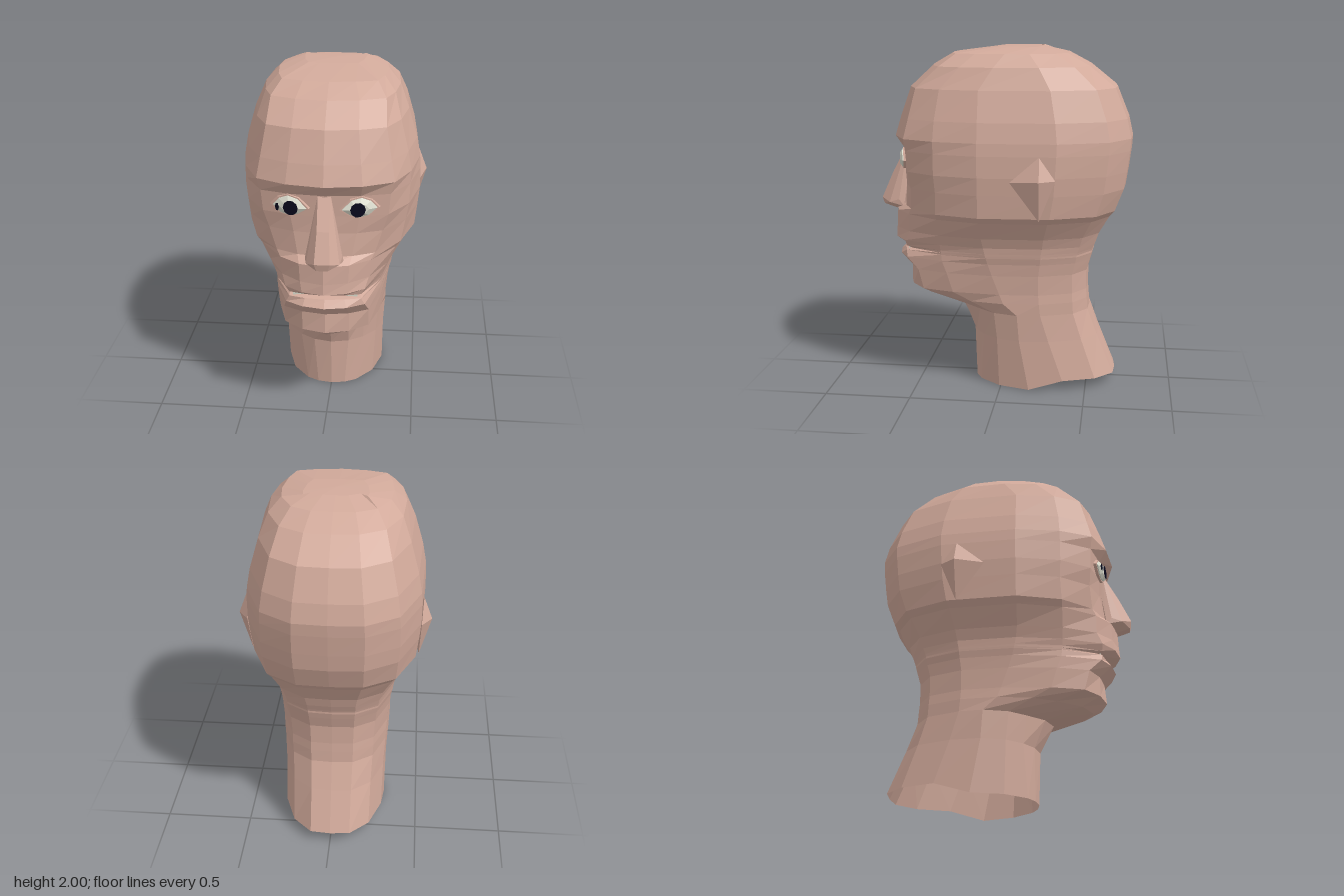
import * as THREE from 'three';
import { ConvexGeometry } from 'three/addons/geometries/ConvexGeometry.js';

// The neck is open underneath, so the skin shows on both sides
const skin = new THREE.MeshStandardMaterial({ color: 0xd2aa9b, side: THREE.DoubleSide });
skin.name = 'skin';
const white = new THREE.MeshStandardMaterial({ color: 0xdedfd0 });
white.name = 'eye white';
const dark = new THREE.MeshStandardMaterial({ color: 0x08081c });
dark.name = 'iris dark';

// Cross-sections: y, front z, face corner x, face corner z, half width, back z
const SECTIONS = [
  [0, 0.18, 0.15, 0.13, 0.30, -0.67],
  [0.30, 0.19, 0.19, 0.11, 0.305, -0.57],
  [0.46, 0.27, 0.20, 0.13, 0.315, -0.51],
  [0.53, 0.50, 0.22, 0.30, 0.32, -0.505],
  [0.585, 0.58, 0.24, 0.46, 0.32, -0.50],
  [0.70, 0.57, 0.24, 0.49, 0.33, -0.50],
  [0.77, 0.64, 0.22, 0.56, 0.34, -0.52],
  [0.808, 0.60, 0.20, 0.565, 0.35, -0.53],
  [0.82, 0.545, 0.20, 0.53, 0.352, -0.53],
  [0.834, 0.60, 0.20, 0.565, 0.354, -0.535],
  [0.87, 0.67, 0.22, 0.57, 0.36, -0.55],
  [0.93, 0.665, 0.24, 0.54, 0.385, -0.57],
  [1.035, 0.66, 0.25, 0.54, 0.45, -0.63],
  [1.07, 0.60, 0.27, 0.52, 0.48, -0.66],
  [1.20, 0.585, 0.31, 0.51, 0.495, -0.71],
  [1.30, 0.585, 0.34, 0.52, 0.505, -0.725],
  [1.42, 0.59, 0.35, 0.525, 0.505, -0.74],
  [1.49, 0.65, 0.37, 0.535, 0.50, -0.745],
  [1.60, 0.615, 0.35, 0.51, 0.48, -0.72],
  [1.77, 0.55, 0.32, 0.47, 0.43, -0.65],
  [1.89, 0.42, 0.31, 0.34, 0.38, -0.50],
  [1.96, 0.30, 0.26, 0.25, 0.31, -0.37],
  [1.995, 0.03, 0.14, 0.02, 0.18, -0.22],
];

// One closed loop of points, running front, left side, back, right side
function loop([y, zF, xC, zC, w, zB]) {
  const { smoothstep, clamp } = THREE.MathUtils;
  const zM = Math.min(-0.17 + 0.27 * smoothstep(y, 0, 1), zC * 0.6 - 0.18);
  const backShare = 0.55 - 0.1 * smoothstep(y, 0, 0.6);
  const half = [
    [0, zF],
    [xC * 0.55, zF - 0.3 * (zF - zC)],
    [xC, zC],
    [xC + 0.65 * (w - xC), 0.6 * Math.min(zC, 0.52) + 0.4 * zM],
    [w, zM],
    [w * 0.96, Math.min(zB * backShare, zM - 0.05)],
    [w * 0.74, zB * 0.83],
    [w * 0.38, zB * 0.985],
    [0, zB],
  ];
  const mirrored = half.slice(1, -1).reverse().map(([x, z]) => [-x, z]);
  // The cut under the neck rises toward the back
  const lift = (z) => (y === 0 ? 0.06 * clamp((-0.17 - z) / 0.2, 0, 1) : 0);
  return [...half, ...mirrored].map(([x, z]) => [x, y + lift(z), z]);
}

function headGeometry() {
  const loops = SECTIONS.map(loop);
  const n = loops[0].length;
  const top = (loops.length - 1) * n, crown = loops.length * n;
  const positions = [...loops.flat(2), 0, 2, -0.1];
  const index = [];
  for (let i = 0; i < n; i++) {
    const j = (i + 1) % n;
    for (let r = 0; r < top; r += n) {
      index.push(r + i, r + j, r + j + n, r + i, r + j + n, r + i + n);
    }
    index.push(top + i, top + j, crown);
  }
  const indexed = new THREE.BufferGeometry();
  indexed.setAttribute('position', new THREE.Float32BufferAttribute(positions, 3));
  indexed.setIndex(index);
  const faceted = indexed.toNonIndexed();
  faceted.computeVertexNormals();
  return faceted;
}

const hull = (points) => new ConvexGeometry(points.map((p) => new THREE.Vector3(...p)));
const bothSides = (points) => points.flatMap(([x, y, z]) => [[x, y, z], [-x, y, z]]);

export function createModel() {
  const model = new THREE.Group();
  model.name = 'head';
  const add = (name, geometry, material) => {
    const mesh = new THREE.Mesh(geometry, material);
    mesh.name = name;
    model.add(mesh);
    return mesh;
  };

  add('headAndNeck', headGeometry(), skin);

  // Nose with narrow bridge, wide nostrils and blunt tip
  add('nose', hull(bothSides([
    [0.035, 1.42, 0.585], [0.055, 1.30, 0.57], [0.033, 1.25, 0.675],
    [0.042, 1.09, 0.745], [0.03, 1.05, 0.735], [0.10, 1.09, 0.63],
    [0.105, 1.05, 0.60], [0.09, 1.07, 0.69], [0.03, 1.025, 0.66],
  ])), skin);

  // Strip of teeth set back between the lips
  add('teeth', new THREE.BoxGeometry(0.36, 0.024, 0.008).translate(0, 0.821, 0.553), white);

  const almond = [[-0.095, -0.005], [-0.045, 0.045], [0.01, 0.06], [0.06, 0.04],
    [0.095, 0], [0.05, -0.04], [0, -0.052], [-0.05, -0.037]];

  for (const side of [1, -1]) {
    const label = side > 0 ? 'left' : 'right';
    // Almond lens that follows the slope of the face
    const lens = (rings) => hull(rings.flatMap(([scale, z]) => almond.map(([x, y]) => [
      side * (0.187 + x * scale), 1.353 + y * scale, z - 0.22 * x * scale,
    ])));
    add(label + 'EyeLids', lens([[1.18, 0.55], [1.1, 0.577]]), skin);
    add(label + 'EyeWhite', lens([[1, 0.565], [0.97, 0.583], [0.55, 0.598]]), white);

    const iris = add(label + 'Iris', new THREE.CircleGeometry(0.042, 10), dark);
    iris.position.set(side * 0.18, 1.352, 0.604);
    iris.rotation.y = side * 0.2;

    // Wedge-shaped ear
    add(label + 'Ear', hull([
      [0.496, 1.42, -0.24], [0.478, 1.06, -0.24], [0.545, 1.29, -0.245],
      [0.503, 1.28, -0.08], [0.487, 1.29, -0.33], [0.42, 1.25, -0.22],
    ].map(([x, y, z]) => [side * x, y, z])), skin);
  }

  // Small dark fleck at the outer corner of the right eye
  const fleck = add('rightEyeFleck', new THREE.CircleGeometry(0.024, 6), dark);
  fleck.scale.x = 0.55;
  fleck.position.set(-0.254, 1.35, 0.585);
  fleck.rotation.y = -0.5;
  return model;
}
